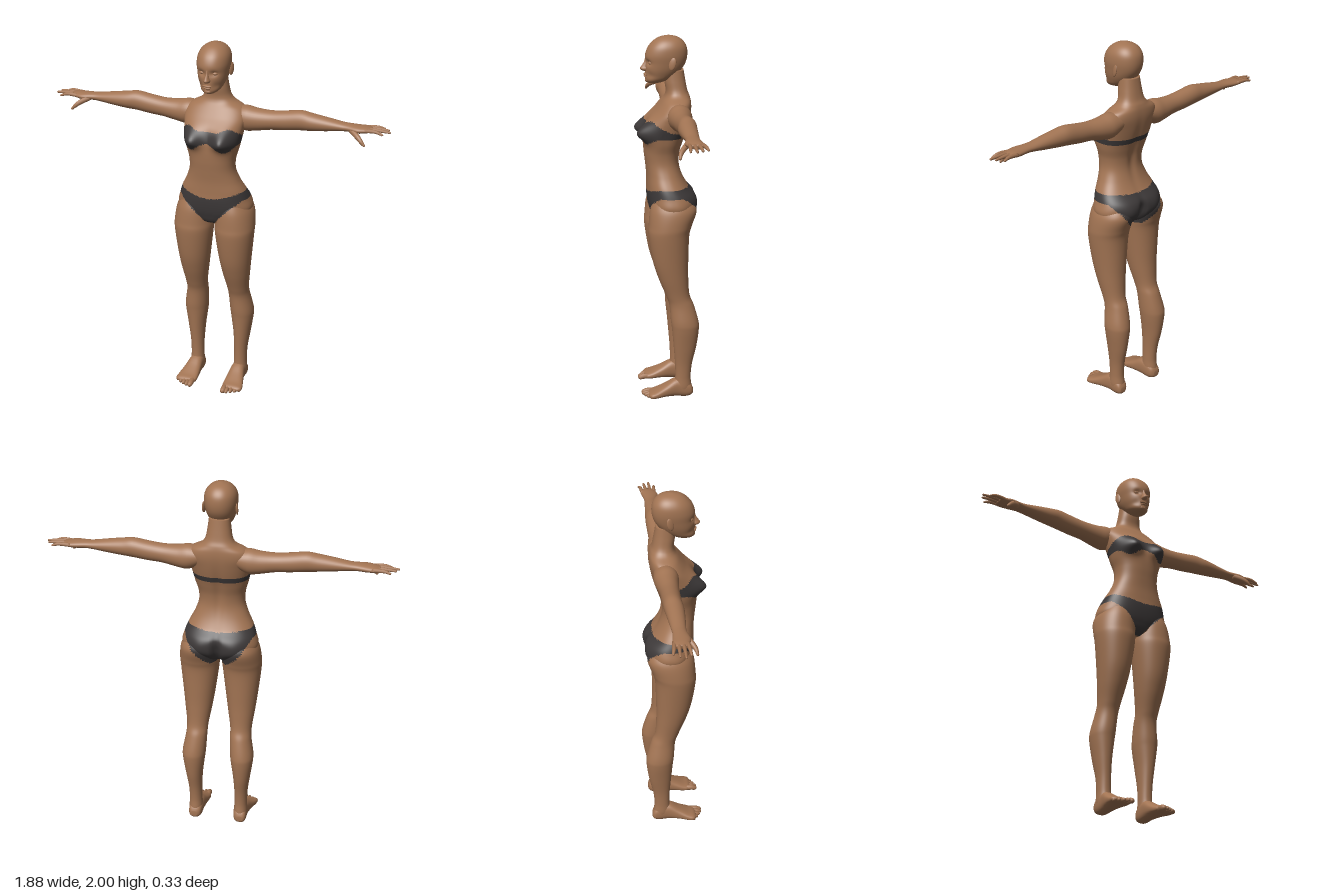
import * as THREE from 'three';

const skin = new THREE.MeshStandardMaterial({ color: 0xa27453 });
skin.name = 'skin';
const cloth = new THREE.MeshStandardMaterial({ color: 0x3d3939 });
cloth.name = 'dark cloth';

const gauss = (d, s) => Math.exp(-((d / s) ** 2));
const { lerp, smoothstep } = THREE.MathUtils;

// Catmull-Rom interpolation of every number in a list of rings
function refine(rings, steps) {
  const out = [], at = i => rings[Math.min(Math.max(i, 0), rings.length - 1)];
  for (let i = 0; i < rings.length - 1; i++) {
    const [p, q, r, u] = [at(i - 1), at(i), at(i + 1), at(i + 2)];
    for (let s = 0; s < steps; s++) {
      const t = s / steps;
      out.push(q.map((b, k) => {
        const c1 = r[k] - p[k];
        const c2 = 2 * p[k] - 5 * b + 4 * r[k] - u[k];
        const c3 = 3 * (b - r[k]) + u[k] - p[k];
        return b + 0.5 * t * (c1 + t * (c2 + t * c3));
      }));
    }
  }
  out.push(rings[rings.length - 1]);
  return out;
}

// Closed skin over rings [t, aMin, aMax, bMin, bMax]; place(t, a, b) gives the point.
// isCloth(x, y, z) picks the faces that get the cloth material.
function loft(name, rings, place, { steps = 4, sides = 24, power = 2, deform, isCloth } = {}) {
  const rows = refine(rings, steps), pts = [], tris = [];
  const round = v => Math.sign(v) * Math.abs(v) ** (2 / power);
  for (const [t, a0, a1, b0, b1] of rows) {
    for (let j = 0; j < sides; j++) {
      const w = j / sides * Math.PI * 2;
      pts.push(place(t, (a0 + a1) / 2 + (a1 - a0) / 2 * round(Math.cos(w)),
        (b0 + b1) / 2 + (b1 - b0) / 2 * round(Math.sin(w))));
    }
  }
  for (const r of [rows[0], rows[rows.length - 1]]) pts.push(place(r[0], (r[1] + r[2]) / 2, (r[3] + r[4]) / 2));
  if (deform) pts.forEach(deform);
  const n = rows.length, c0 = n * sides;
  for (let j = 0; j < sides; j++) {
    const k = (j + 1) % sides;
    for (let i = 0; i < n - 1; i++) {
      const a = i * sides + j, b = i * sides + k, c = a + sides, d = b + sides;
      tris.push([a, b, d], [a, d, c]);
    }
    tris.push([c0, k, j], [c0 + 1, (n - 1) * sides + j, (n - 1) * sides + k]);
  }
  // Turn all faces outward
  let volume = 0;
  const cross = new THREE.Vector3();
  for (const [a, b, c] of tris) volume += pts[a].dot(cross.crossVectors(pts[b], pts[c]));
  if (volume < 0) tris.forEach(t => t.reverse());

  const parts = [[], []];
  for (const t of tris) {
    const m = t.reduce((s, i) => s.add(pts[i]), new THREE.Vector3()).divideScalar(3);
    parts[isCloth && isCloth(m.x, m.y, m.z) ? 1 : 0].push(...t);
  }
  const geo = new THREE.BufferGeometry().setFromPoints(pts);
  geo.setIndex([...parts[0], ...parts[1]]);
  if (isCloth) {
    geo.addGroup(0, parts[0].length, 0);
    geo.addGroup(parts[0].length, parts[1].length, 1);
  }
  geo.computeVertexNormals();
  const mesh = new THREE.Mesh(geo, isCloth ? [skin, cloth] : skin);
  mesh.name = name;
  return mesh;
}

// Tapered rounded limb along points [x, y, z, radius]
function digit(name, path) {
  const first = path[0], last = path[path.length - 1];
  const dir = new THREE.Vector3(last[0] - first[0], last[1] - first[1], last[2] - first[2]).normalize();
  const u = new THREE.Vector3(0, 1, 0).addScaledVector(dir, -dir.y).normalize();
  const v = new THREE.Vector3().crossVectors(dir, u);
  const rows = refine(path, 4);
  for (const f of [0.8, 0.4]) {
    const d = last[3] * Math.sqrt(1 - f * f);
    rows.push([last[0] + dir.x * d, last[1] + dir.y * d, last[2] + dir.z * d, last[3] * f]);
  }
  const rings = rows.map((row, i) => [i, -row[3], row[3], -row[3], row[3]]);
  return loft(name, rings, (i, a, b) => new THREE.Vector3(...rows[i].slice(0, 3))
    .addScaledVector(u, a).addScaledVector(v, b), { steps: 1, sides: 10 });
}

function blob(name, x, y, z, sx, sy, sz, rx = 0, ry = 0) {
  const mesh = new THREE.Mesh(new THREE.SphereGeometry(1, 20, 14), skin);
  mesh.name = name;
  mesh.position.set(x, y, z);
  mesh.scale.set(sx, sy, sz);
  mesh.rotation.set(rx, ry, 0);
  return mesh;
}

// Where the two-piece covers the body
function covered(x, y, z) {
  const a = Math.abs(x);
  if (y > 1.35) {
    const k = smoothstep(z, -0.04, 0.1);
    return y < lerp(1.502, 1.545 + 0.02 * gauss(a - 0.11, 0.04), k)
      && y > lerp(1.472, 1.485 - 0.045 * gauss(a - 0.095, 0.05), k);
  }
  const side = Math.min(1, a / 0.17);
  const top = z > 0 ? 1.165 + 0.037 * side ** 1.5 : 1.19 + 0.012 * side;
  const low = z > 0 ? 1 + 0.16 * (Math.max(0, a - 0.02) / 0.16) ** 0.75
    : 0.99 + 0.16 * (Math.max(0, a - 0.03) / 0.15) ** 1.4;
  return y < top && y > Math.min(low, 1.155);
}

// Bust, seat and spine shaping
function shapeTorso(p) {
  const a = Math.abs(p.x), y = p.y;
  if (p.z > 0.02) {
    p.z += 0.058 * gauss(a - 0.088, 0.052) * gauss(y - 1.495, y < 1.495 ? 0.042 : 0.055);
  } else if (p.z < -0.03) {
    p.z -= 0.014 * gauss(a - 0.095, 0.06) * gauss(y - 1.1, 0.05);
    p.z += 0.035 * gauss(a, 0.02) * gauss(y - 1.07, 0.07) + 0.01 * gauss(a, 0.025) * gauss(y - 1.4, 0.15);
  }
}

// Eye sockets and cheeks
function shapeFace(p) {
  if (p.z < 0.02) return;
  const a = Math.abs(p.x);
  p.z -= 0.013 * gauss(a - 0.034, 0.02) * gauss(p.y - 1.862, 0.014);
  p.z -= 0.008 * gauss(a - 0.045, 0.02) * gauss(p.y - 1.795, 0.02);
}

export function createModel() {
  const model = new THREE.Group();
  model.name = 'figure';

  // Upright rings written as [y, halfWidth, zFront, zBack]
  const upright = rows => rows.map(([y, w, f, b]) => [y, -w, w, b, f]);
  const standing = (y, x, z) => new THREE.Vector3(x, y, z);

  model.add(loft('torso', upright([
    [1.0, 0.03, 0.04, -0.06], [1.02, 0.1, 0.075, -0.1], [1.06, 0.185, 0.092, -0.138],
    [1.1, 0.207, 0.102, -0.15], [1.15, 0.195, 0.108, -0.148], [1.2, 0.176, 0.108, -0.11],
    [1.26, 0.145, 0.109, -0.08], [1.32, 0.125, 0.115, -0.065], [1.38, 0.126, 0.122, -0.068],
    [1.44, 0.142, 0.125, -0.085], [1.5, 0.154, 0.12, -0.105], [1.56, 0.165, 0.1, -0.12],
    [1.61, 0.172, 0.06, -0.128], [1.65, 0.15, 0.03, -0.128], [1.68, 0.095, 0.01, -0.122],
    [1.71, 0.072, 0.004, -0.11], [1.76, 0.062, 0.01, -0.1], [1.82, 0.055, 0.01, -0.09],
  ]), standing, { steps: 8, sides: 120, power: 2.3, deform: shapeTorso, isCloth: covered }));

  model.add(loft('head', upright([
    [1.75, 0.02, 0.095, 0.04], [1.757, 0.036, 0.106, 0.015], [1.772, 0.052, 0.112, -0.02],
    [1.795, 0.064, 0.113, -0.055], [1.825, 0.075, 0.112, -0.082], [1.86, 0.082, 0.112, -0.102],
    [1.9, 0.087, 0.112, -0.11], [1.94, 0.083, 0.097, -0.106], [1.97, 0.067, 0.071, -0.088],
    [1.99, 0.041, 0.04, -0.06], [2.0, 0.008, 0, -0.02],
  ]), standing, { steps: 5, sides: 72, power: 2.15, deform: shapeFace }));

  model.add(loft('nose', upright([
    [1.885, 0.008, 0.112, 0.08], [1.86, 0.009, 0.12, 0.08], [1.84, 0.013, 0.133, 0.08],
    [1.827, 0.018, 0.14, 0.08], [1.817, 0.015, 0.13, 0.08], [1.813, 0.006, 0.118, 0.08],
  ]), standing, { sides: 20 }));
  model.add(blob('upperLip', 0, 1.797, 0.11, 0.026, 0.006, 0.011));
  model.add(blob('lowerLip', 0, 1.786, 0.109, 0.021, 0.006, 0.011));
  model.add(blob('chin', 0, 1.766, 0.1, 0.022, 0.013, 0.014));

  // Mirrored parts
  for (const s of [1, -1]) {
    const side = s > 0 ? 'left' : 'right';
    model.add(blob(side + 'Eye', s * 0.034, 1.861, 0.087, 0.016, 0.009, 0.012));
    model.add(blob(side + 'Ear', s * 0.086, 1.862, -0.022, 0.007, 0.034, 0.019, -0.25, s * -0.35));

    // Leg rings [y, xInner, xOuter, zBack, zFront]
    model.add(loft(side + 'Leg', [
      [1.14, 0.04, 0.18, -0.12, 0.08], [1.08, 0.012, 0.212, -0.15, 0.1], [1.0, 0.008, 0.224, -0.125, 0.108],
      [0.94, 0.012, 0.222, -0.11, 0.11], [0.8, 0.03, 0.207, -0.105, 0.088], [0.7, 0.045, 0.195, -0.105, 0.058],
      [0.6, 0.062, 0.182, -0.112, 0.018], [0.54, 0.066, 0.183, -0.135, -0.002], [0.45, 0.07, 0.198, -0.16, -0.01],
      [0.4, 0.075, 0.197, -0.163, -0.016], [0.3, 0.088, 0.182, -0.15, -0.025], [0.2, 0.094, 0.168, -0.128, -0.033],
      [0.12, 0.094, 0.165, -0.12, -0.035], [0.06, 0.092, 0.167, -0.125, -0.03], [0.02, 0.1, 0.16, -0.12, -0.04],
    ], (y, x, z) => new THREE.Vector3(s * x, y, z), { steps: 8, sides: 56, power: 2.1, isCloth: covered }));

    // Foot rings [z, xInner, xOuter, yBottom, yTop]
    model.add(loft(side + 'Foot', [
      [-0.132, 0.115, 0.15, 0.02, 0.05], [-0.12, 0.098, 0.162, 0.008, 0.075], [-0.09, 0.09, 0.166, 0, 0.1],
      [-0.04, 0.087, 0.168, 0.004, 0.108], [0.02, 0.082, 0.181, 0.007, 0.076], [0.07, 0.079, 0.194, 0.005, 0.052],
      [0.1, 0.083, 0.195, 0.008, 0.042], [0.115, 0.1, 0.175, 0.015, 0.032],
    ], (z, x, y) => new THREE.Vector3(s * x, y, z), { sides: 32, power: 2.5 }));
    [0.137, 0.14, 0.13, 0.117, 0.1].forEach((tip, i) => {
      const x = s * (0.099 + 0.021 * i), r = i ? 0.011 : 0.016;
      model.add(digit(side + 'Toe' + (i + 1), [[x, 0.025, 0.07, r], [x, 0.025, tip - 0.02, r], [x, 0.02, tip, r * 0.9]]));
    });

    // Arm rings [x, yBottom, yTop, zBack, zFront]
    model.add(loft(side + 'Arm', [
      [0.09, 1.56, 1.65, -0.11, 0], [0.16, 1.525, 1.66, -0.117, 0.012], [0.22, 1.53, 1.651, -0.11, 0.006],
      [0.3, 1.545, 1.648, -0.1, 0], [0.38, 1.552, 1.657, -0.1, -0.002], [0.46, 1.562, 1.668, -0.1, -0.003],
      [0.52, 1.567, 1.66, -0.096, 0], [0.6, 1.576, 1.648, -0.09, -0.005], [0.68, 1.587, 1.635, -0.084, -0.012],
      [0.72, 1.59, 1.632, -0.083, -0.01], [0.77, 1.588, 1.63, -0.089, 0], [0.81, 1.593, 1.627, -0.095, -0.008],
      [0.84, 1.599, 1.621, -0.09, -0.015],
    ], (x, y, z) => new THREE.Vector3(s * x, y, z), { sides: 36 }));

    // Fingers from index to little, then the thumb
    [[0.9, 1.603, -0.012], [0.932, 1.61, -0.04], [0.92, 1.611, -0.068], [0.893, 1.607, -0.098]].forEach(([x, y, z], i) => {
      const z0 = -0.02 - 0.021 * i;
      model.add(digit(side + 'Finger' + (i + 1),
        [[s * 0.8, 1.61, z0, 0.011], [s * 0.86, 1.614, (z0 + z) / 2, 0.0095], [s * x, y, z, 0.006]]));
    });
    model.add(digit(side + 'Thumb', [[s * 0.735, 1.605, -0.025, 0.016], [s * 0.775, 1.585, 0.006, 0.014],
      [s * 0.8, 1.566, 0.022, 0.011], [s * 0.817, 1.549, 0.027, 0.007]]));
  }
  return model;
}
